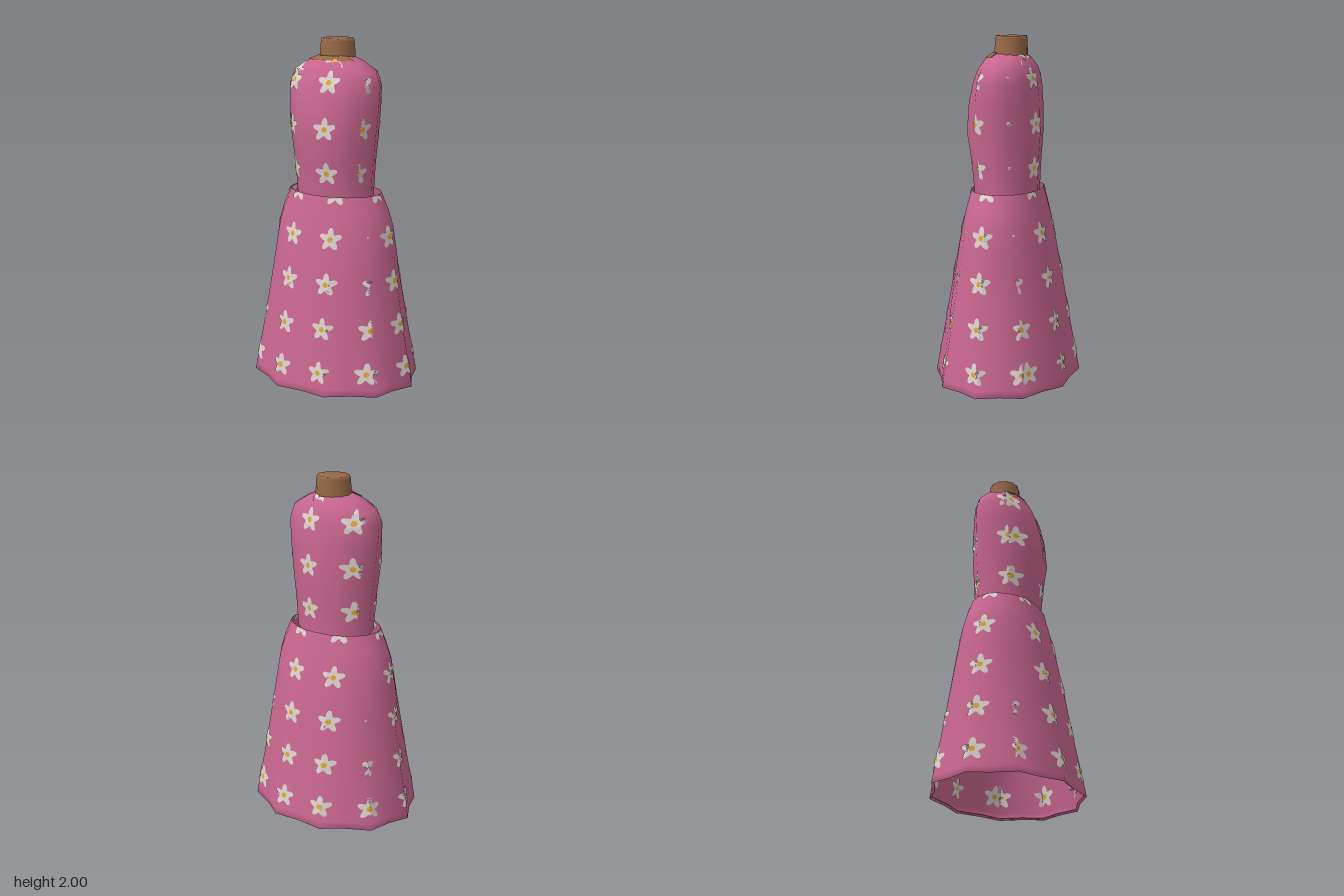
import * as THREE from 'three';

const mat = (name, color) => {
  const m = new THREE.MeshStandardMaterial({ color, side: THREE.DoubleSide });
  m.name = name;
  return m;
};

// Smooth closed loft through rings [y, halfWidth, frontDepth, backDepth, scallop], top to bottom
function loft(rings, n, { cap = false, zc = 0 } = {}) {
  const pos = [], idx = [];
  rings.forEach(([y, rx, zf, zb, scallop = 1]) => {
    for (let j = 0; j < n; j++) {
      const t = (j / n) * Math.PI * 2, k = j % 2 ? scallop : 1, s = Math.sin(t);
      pos.push(rx * k * Math.cos(t), y, zc + (s > 0 ? zf : zb) * k * s);
    }
  });
  for (let i = 0; i < rings.length - 1; i++) {
    for (let j = 0; j < n; j++) {
      const a = i * n + j, b = i * n + (j + 1) % n;
      idx.push(a, b, a + n, b, b + n, a + n);
    }
  }
  if (cap) {
    const c = pos.length / 3;
    pos.push(0, rings[0][0], zc);
    for (let j = 0; j < n; j++) idx.push(c, (j + 1) % n, j);
  }
  const g = new THREE.BufferGeometry();
  g.setAttribute('position', new THREE.Float32BufferAttribute(pos, 3));
  g.setIndex(idx);
  g.computeVertexNormals();
  return g;
}

// Press a flat outline onto a mesh along one axis, keeping faces that mainly face that axis
const ray = new THREE.Raycaster();
function press(out, mesh, axis, sign, center, outline, rings, offsets, clip = true) {
  const [ua, va] = { x: ['z', 'y'], y: ['x', 'z'], z: ['x', 'y'] }[axis];
  const cast = (u, v) => {
    const o = new THREE.Vector3(), d = new THREE.Vector3();
    o[ua] = center[0] + u;
    o[va] = center[1] + v;
    o[axis] = sign * 3;
    d[axis] = -sign;
    ray.set(o, d);
    const hit = ray.intersectObject(mesh)[0];
    if (!hit) return null;
    const n = hit.face.normal, top = Math.max(Math.abs(n.x), Math.abs(n.y), Math.abs(n.z));
    return { p: hit.point, n, faces: n[axis] * sign > top - 1e-4 };
  };
  const grid = [];
  for (let r = 0; r <= rings; r++) grid.push(outline.map(([u, v]) => cast(u * r / rings, v * r / rings)));
  const tri = (...t) => {
    if (t.some(h => !h) || (clip && t.filter(h => h.faces).length < 2)) return;
    for (const off of offsets)
      for (const h of t) out.push(...h.p.clone().addScaledVector(h.n, off).toArray());
  };
  for (let r = 0; r < rings; r++) {
    for (let j = 0; j < outline.length; j++) {
      const k = (j + 1) % outline.length;
      if (r > 0) tri(grid[r][j], grid[r + 1][k], grid[r][k]);
      tri(grid[r][j], grid[r + 1][j], grid[r + 1][k]);
    }
  }
}

const loop = (n, radius) => Array.from({ length: n }, (_, i) => {
  const t = (i / n) * Math.PI * 2, r = radius(t);
  return [r * Math.cos(t), r * Math.sin(t)];
});

export function createModel() {
  const group = new THREE.Group();
  const pink = mat('pink cloth', 0xc8668f);
  const white = mat('petal white', 0xdcd2ce);
  const yellow = mat('flower yellow', 0xdba832);
  const skin = mat('brown skin', 0x966846);
  const add = (name, geometry, material) => {
    const m = new THREE.Mesh(geometry, material);
    m.name = name;
    group.add(m);
    return m;
  };

  // Hollow flared skirt with a ten-pointed hem
  const skirt = add('skirt', loft([
    [1.125, 0.285, 0.2, 0.2, 1],
    [1.03, 0.33, 0.224, 0.224, 1],
    [0.93, 0.365, 0.248, 0.248, 0.99],
    [0.8, 0.385, 0.275, 0.275, 0.985],
    [0.66, 0.405, 0.302, 0.302, 0.975],
    [0.33, 0.46, 0.36, 0.36, 0.95],
    [0.04, 0.514, 0.415, 0.415, 0.93],
    [0, 0.52, 0.421, 0.421, 0.925],
    [0.01, 0.503, 0.405, 0.405, 0.925],
  ], 20), pink);

  // Bodice with rounded shoulders and a fuller front
  const bodice = add('bodice', loft([
    [1.9, 0.1, 0.085, 0.105],
    [1.875, 0.17, 0.115, 0.13],
    [1.82, 0.262, 0.15, 0.16],
    [1.74, 0.29, 0.182, 0.18],
    [1.62, 0.281, 0.215, 0.192],
    [1.45, 0.263, 0.234, 0.198],
    [1.28, 0.245, 0.205, 0.188],
    [1.1, 0.235, 0.188, 0.18],
  ], 12, { cap: true }), pink);

  // Neck stump
  add('neck', loft([
    [2, 0.092, 0.086, 0.088],
    [1.985, 0.097, 0.09, 0.092],
    [1.9, 0.105, 0.098, 0.094],
    [1.86, 0.11, 0.1, 0.094],
  ], 12, { cap: true, zc: -0.02 }), skin);

  // Printed flowers: a regular grid pressed on from each axis
  const petals = [], hearts = [];
  const star = loop(40, t => 0.05 + 0.017 * Math.cos(5 * (t - Math.PI / 2)));
  const dot = loop(8, () => 0.016);
  const print = (mesh, axis, signs, us, vs, sides) => {
    for (const s of signs) for (const u of us) for (const v of vs) {
      press(petals, mesh, axis, s, [u, v], star, 5, sides.map(d => d * 0.004));
      press(hearts, mesh, axis, s, [u, v], dot, 1, sides.map(d => d * 0.007));
    }
  };
  const skirtRows = [0.13, 0.38, 0.635, 0.89, 1.14], bodiceRows = [1.255, 1.51, 1.765];
  print(skirt, 'z', [1, -1], [-0.4, -0.145, 0.11, 0.36], skirtRows, [1, -1]);
  print(skirt, 'x', [1, -1], [-0.235, 0.02, 0.275], skirtRows, [1, -1]);
  print(bodice, 'z', [1, -1], [-0.2, 0.055, 0.305], bodiceRows, [1]);
  print(bodice, 'x', [1, -1], [-0.145, 0.11], bodiceRows, [1]);
  print(bodice, 'y', [1], [-0.2, 0.055], [-0.145, 0.105], [1]);

  // Bare skin showing at the front of the neckline
  const neckline = [];
  const edge = [[-0.15, 0.05], [-0.11, 0.08], [-0.07, 0.1], [0, 0.11], [0.07, 0.1], [0.11, 0.08], [0.15, 0.05]];
  press(neckline, bodice, 'y', 1, [0, 0], edge, 8, [0.006], false);

  const sheet = p => {
    const g = new THREE.BufferGeometry();
    g.setAttribute('position', new THREE.Float32BufferAttribute(p, 3));
    g.computeVertexNormals();
    return g;
  };
  add('flowerPetals', sheet(petals), white);
  add('flowerCentres', sheet(hearts), yellow);
  add('necklineSkin', sheet(neckline), skin);
  return group;
}
